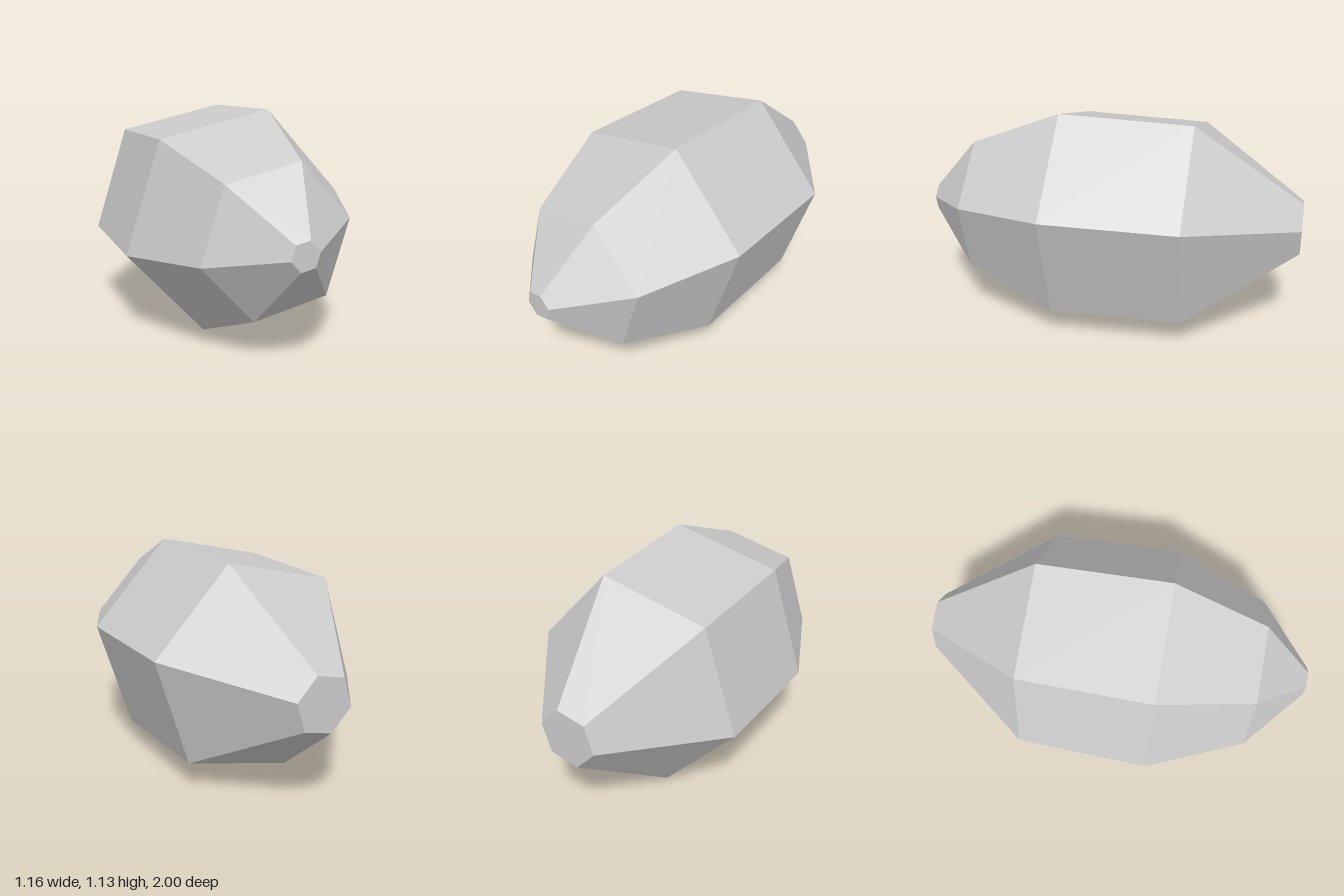
import * as THREE from 'three';

export function createModel() {
  const group = new THREE.Group();
  const stoneGrey = new THREE.MeshStandardMaterial({ color: 0xcccccc });

  // Profile from the back tip to the front tip: [radius, z]
  const profile = [
    [0, -1], [0.148, -1], [0.57, -0.45], [0.592, 0.235],
    [0.386, 0.727], [0.073, 1], [0, 1],
  ].map(([r, z]) => new THREE.Vector2(r, z));

  // Six-sided faceted body, turned slightly about its long axis
  const turn = THREE.MathUtils.degToRad(90 + 12.6);
  const lathe = new THREE.LatheGeometry(profile, 6, turn);
  lathe.rotateX(Math.PI / 2);
  const geometry = lathe.toNonIndexed();
  geometry.computeVertexNormals(); // flat facets

  const body = new THREE.Mesh(geometry, stoneGrey);
  body.name = 'facetedStone';
  geometry.computeBoundingBox();
  body.position.y = -geometry.boundingBox.min.y;
  group.add(body);
  return group;
}
